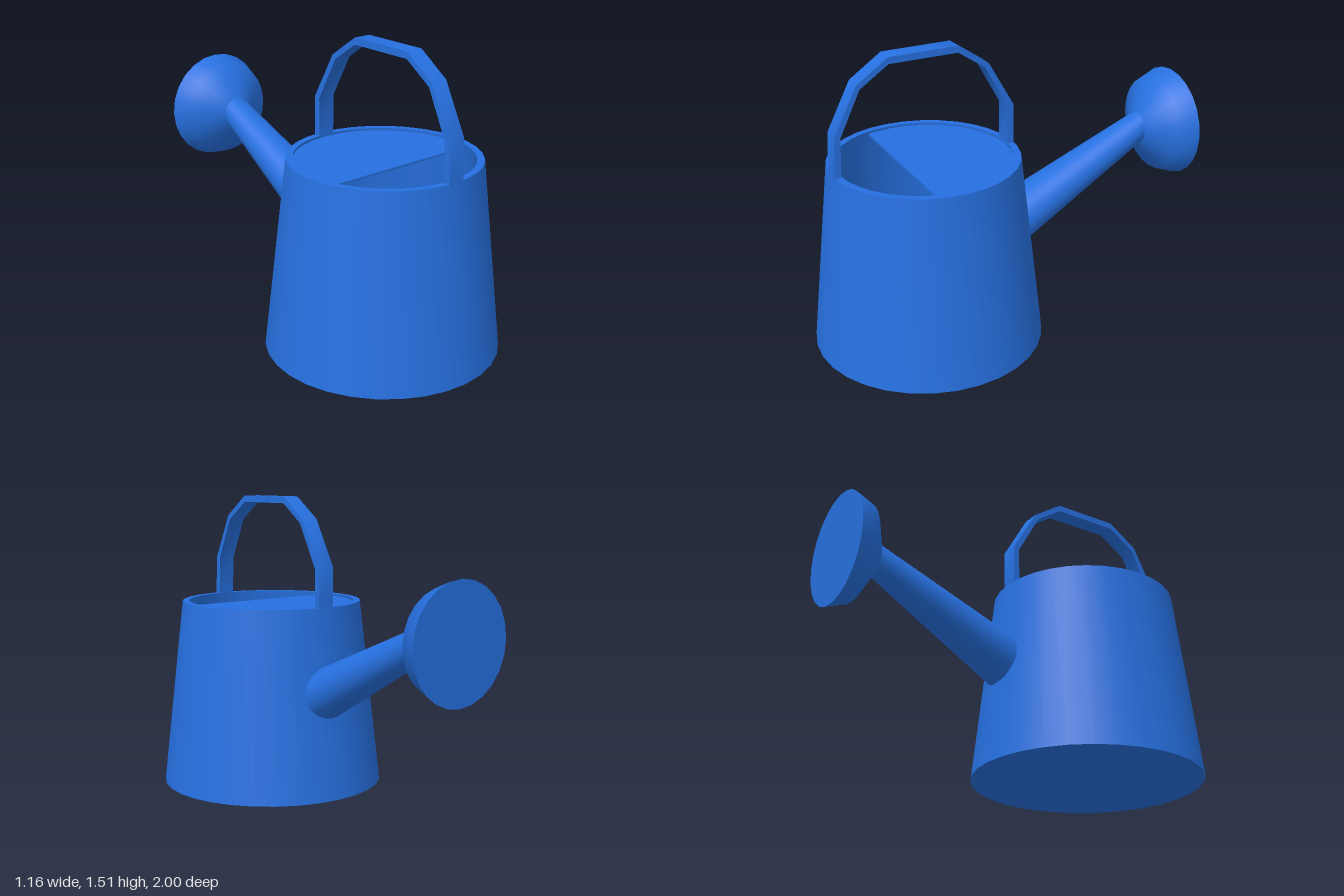
import * as THREE from 'three';
import { toCreasedNormals } from 'three/addons/utils/BufferGeometryUtils.js';

const blue = new THREE.MeshStandardMaterial({ color: 0x2670e0, side: THREE.DoubleSide });
const BODY_Z = 0.42;
const v2 = (pairs) => pairs.map(([x, y]) => new THREE.Vector2(x, y));

export function createModel() {
  const group = new THREE.Group();
  const add = (name, geometry) => {
    const mesh = new THREE.Mesh(geometry, blue);
    mesh.name = name;
    group.add(mesh);
    return mesh;
  };

  // Tapered can with a wall thickness, rim and floor
  const can = new THREE.LatheGeometry(v2([
    [0, 0], [0.58, 0], [0.47, 0.965], [0.435, 0.965], [0.545, 0.03], [0, 0.03],
  ]), 32);
  add('body', toCreasedNormals(can, 0.7)).position.z = BODY_Z;

  // Partial cover on the spout side of the opening
  const r = 0.437;
  const a = Math.asin(0.12 / r);
  const coverShape = new THREE.Shape().absarc(0, 0, r, -a, Math.PI + a, false);
  coverShape.closePath();
  const cover = new THREE.ExtrudeGeometry(coverShape, { depth: 0.012, bevelEnabled: false, curveSegments: 24 });
  cover.rotateX(-Math.PI / 2);
  add('cover', cover).position.set(0, 0.94, BODY_Z);

  // Flat strap handle: outer outline, then back along the inner one, as (z, y)
  const strap = new THREE.Shape(v2([
    [0.89, 0.955], [0.88, 1.165], [0.76, 1.4], [0.6, 1.51], [0.25, 1.51], [0.09, 1.4], [-0.045, 1.165], [-0.045, 0.955],
    [-0.012, 0.955], [-0.012, 1.16], [0.11, 1.38], [0.25, 1.476], [0.6, 1.476], [0.745, 1.378], [0.85, 1.16], [0.858, 0.955],
  ]));
  const handle = new THREE.ExtrudeGeometry(strap, { depth: 0.09, bevelEnabled: false });
  handle.translate(0, 0, -0.045);
  handle.rotateY(-Math.PI / 2);
  add('handle', toCreasedNormals(handle, 0.7));

  // Spout: upright rings along -z, sheared so they climb toward the tip
  const spout = new THREE.LatheGeometry(v2([[0.142, 0.06], [0.08, 0.81]]), 24);
  spout.rotateX(-Math.PI / 2);
  const p = spout.attributes.position;
  for (let i = 0; i < p.count; i++) {
    const t = (-p.getZ(i) - 0.06) / 0.75;
    p.setY(i, p.getY(i) + 0.525 + t * 0.371);
  }
  spout.computeVertexNormals();
  add('spout', toCreasedNormals(spout, 0.7)).position.x = 0.012;

  // Flared sprinkler head with a flat face
  const rose = new THREE.LatheGeometry(v2([[0.08, 0.8], [0.247, 0.895], [0.286, 1], [0, 1]]), 24);
  rose.rotateX(-Math.PI / 2);
  add('sprinklerHead', toCreasedNormals(rose, 0.9)).position.set(0.012, 0.896, 0);

  return group;
}
